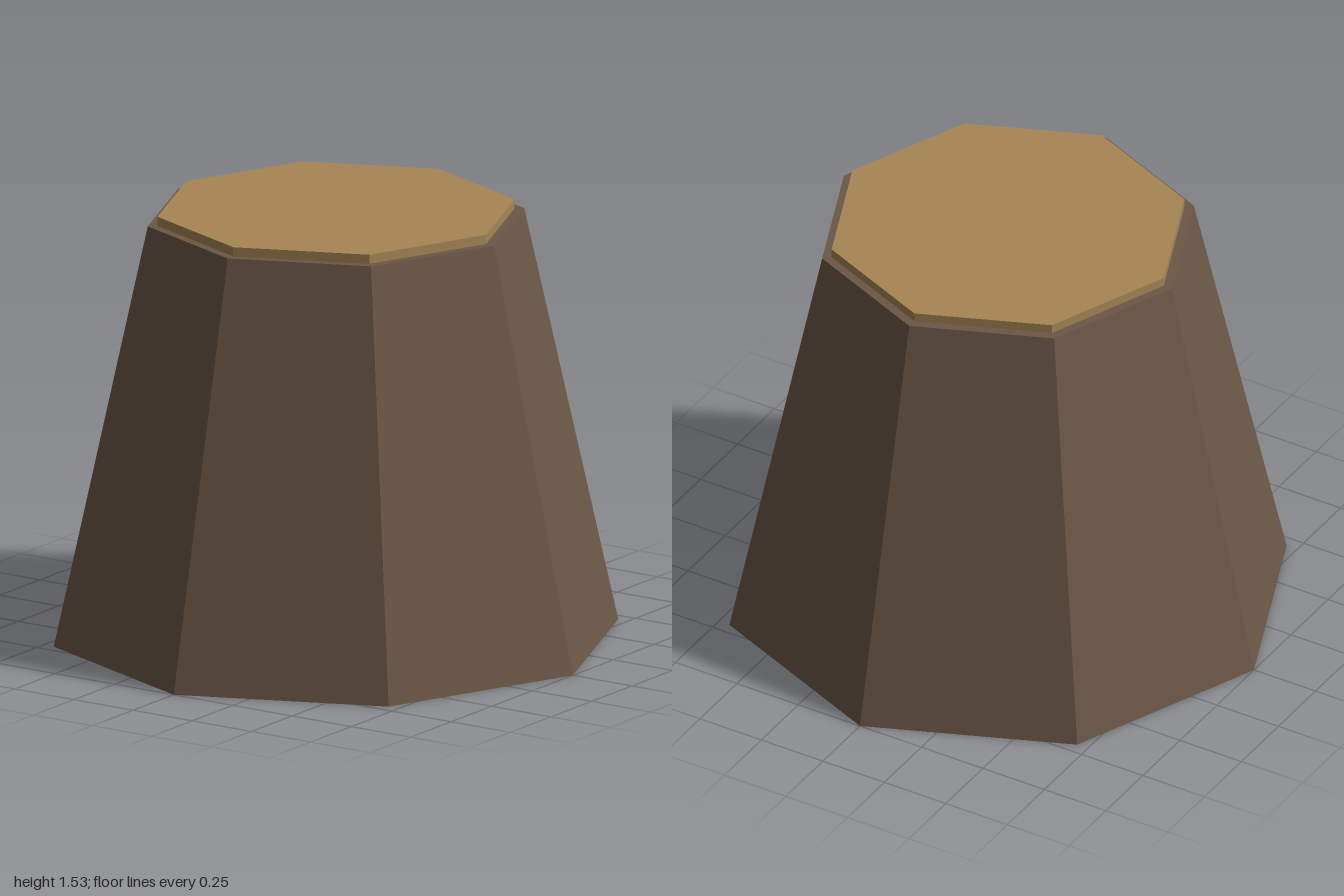
import * as THREE from 'three';

const SIDES = 8;

export function createModel() {
  const bark = new THREE.MeshStandardMaterial({ color: 0x6b5746, flatShading: true });
  bark.name = 'bark';
  const cutWood = new THREE.MeshStandardMaterial({ color: 0xa68555, flatShading: true });
  cutWood.name = 'cut wood';

  const stump = new THREE.Group();
  stump.name = 'treeStump';

  // Eight-sided frustum or disc standing on a given height
  const addPart = (name, topRadius, bottomRadius, bottom, top, material) => {
    const geometry = new THREE.CylinderGeometry(topRadius, bottomRadius, top - bottom, SIDES);
    const mesh = new THREE.Mesh(geometry, material);
    mesh.name = name;
    mesh.position.y = (bottom + top) / 2;
    stump.add(mesh);
  };

  // Tapered trunk, then the pale cut face set slightly proud of it
  addPart('trunk', 0.667, 1, 0, 1.5, bark);
  addPart('cutTop', 0.633, 0.633, 1.467, 1.533, cutWood);

  return stump;
}
